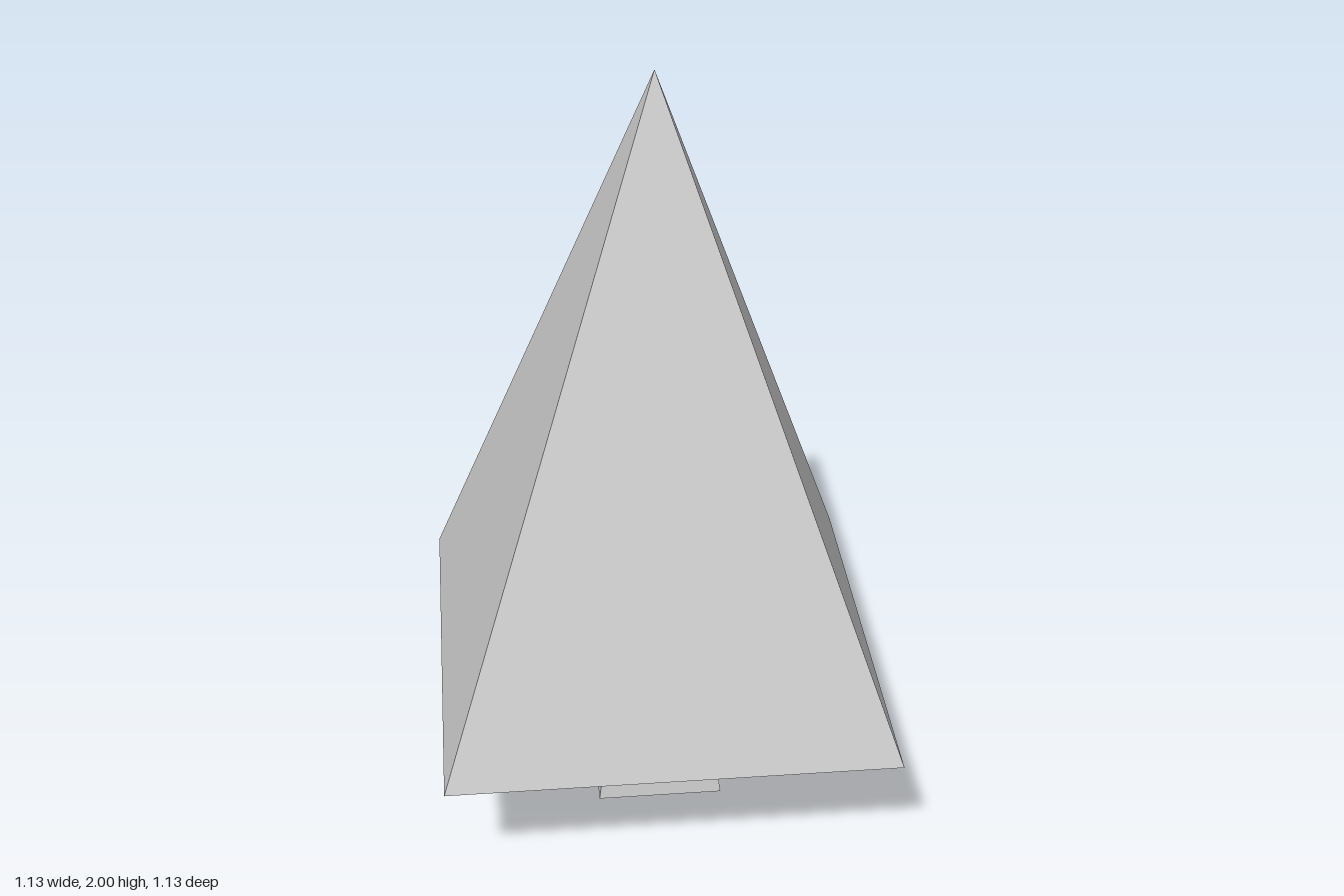
import * as THREE from 'three';

// Square, tapering solid standing between two heights, given by half-widths
function squareTaper(name, topHalf, bottomHalf, y0, y1, open, material) {
  const geometry = new THREE.CylinderGeometry(
    topHalf * Math.SQRT2, bottomHalf * Math.SQRT2, y1 - y0, 4, 1, open);
  geometry.rotateY(Math.PI / 4);
  geometry.translate(0, (y0 + y1) / 2, 0);
  const mesh = new THREE.Mesh(geometry, material);
  mesh.name = name;
  return mesh;
}

export function createModel() {
  const group = new THREE.Group();
  group.name = 'tree';

  const paleGrey = new THREE.MeshStandardMaterial({
    color: 0xcccccc, flatShading: true, side: THREE.DoubleSide });
  paleGrey.name = 'pale grey';

  // Trunk, closed and reaching up inside the foliage
  group.add(squareTaper('trunk', 0.097, 0.163, 0, 0.505, false, paleGrey));

  // Foliage, a hollow pyramid open underneath
  group.add(squareTaper('foliage', 0, 0.565, 0.38, 2, true, paleGrey));

  return group;
}
